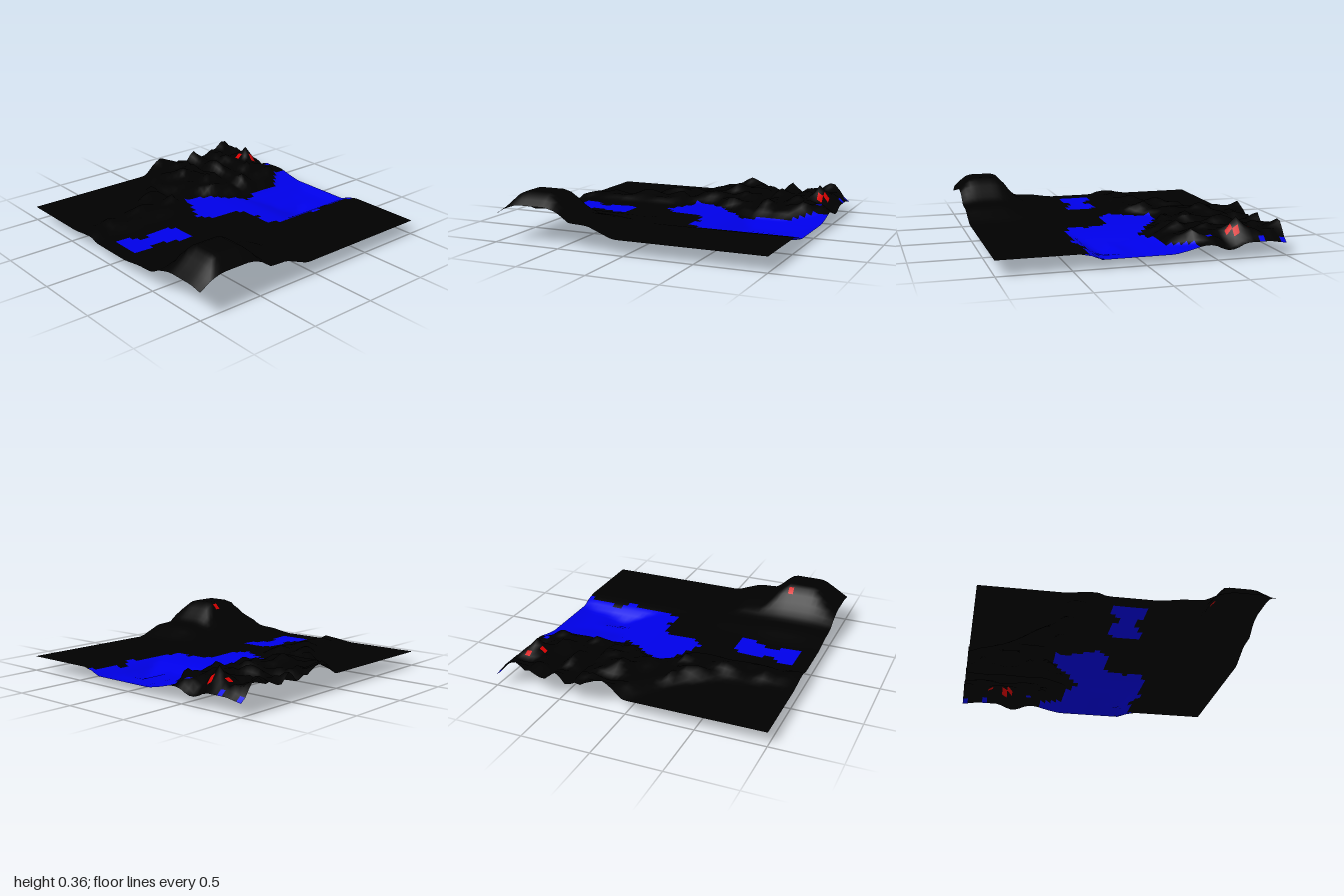
import * as THREE from 'three';

const CELLS = 51, STEP = 2 / CELLS, BASE = 0.106;

// Piecewise-linear curve through [position, value] pairs
function curve(points) {
  return t => {
    if (t <= points[0][0]) return points[0][1];
    for (let i = 1; i < points.length; i++) {
      const [a, va] = points[i - 1], [b, vb] = points[i];
      if (t <= b) return va + (vb - va) * (t - a) / (b - a);
    }
    return points[points.length - 1][1];
  };
}

// Corner hill with a flat top and a side shelf: share of full height along x and z
const hillX = curve([[-1, 0.43], [-0.93, 0.62], [-0.85, 0.92], [-0.8, 1], [-0.6, 1], [-0.55, 0.88],
  [-0.48, 0.6], [-0.41, 0.38], [-0.27, 0.35], [-0.2, 0.22], [-0.08, 0]]);
const hillZ = curve([[0.18, 0], [0.25, 0.05], [0.35, 0.14], [0.48, 0.17], [0.55, 0.33], [0.6, 0.53],
  [0.65, 0.8], [0.7, 1], [0.88, 1], [0.93, 0.94], [1, 0.67]]);

// Skylines of the rugged hills along x and z
const ridgeX = curve([[-1, 0.13], [-0.92, 0.16], [-0.84, 0.14], [-0.76, 0.17], [-0.64, 0.15], [-0.52, 0.18],
  [-0.4, 0.19], [-0.28, 0.19], [-0.22, 0.225], [-0.17, 0.19], [-0.12, 0.125], [-0.08, 0.18], [0, 0.175],
  [0.08, 0.19], [0.18, 0.23], [0.24, 0.205], [0.28, 0.22], [0.33, 0.18], [0.37, 0.195], [0.44, 0.12],
  [0.52, 0.215], [0.62, 0.14], [0.72, 0.215], [0.76, 0.18], [0.8, 0.2], [0.84, 0.26], [0.92, 0.2],
  [0.97, 0.13], [1, 0.106]]);
const ridgeZ = curve([[-1, 0.225], [-0.92, 0.19], [-0.88, 0.205], [-0.84, 0.165], [-0.8, 0.2], [-0.73, 0.215],
  [-0.69, 0.26], [-0.63, 0.215], [-0.58, 0.18], [-0.52, 0.215], [-0.47, 0.165], [-0.42, 0.16], [-0.36, 0.205],
  [-0.32, 0.16], [-0.27, 0.17], [-0.22, 0.14], [-0.15, 0.11]]);

// Back and front limits of the rugged hills
const ridgeBack = curve([[-1, -0.45], [-0.5, -0.52], [-0.2, -0.72], [0, -1], [0.1, -1.15]]);
const ridgeFront = curve([[-1, -0.14], [-0.2, -0.15], [-0.1, -0.3], [0, -0.37], [0.1, -0.37], [0.25, -0.28],
  [0.4, -0.17], [0.75, -0.2], [0.9, -0.36], [1, -0.4]]);

// Lake bed depth along x and z
const bedX = curve([[-0.2, BASE], [0, 0.1], [0.2, 0.095], [0.35, 0.08], [0.45, 0.05], [0.55, 0.015], [0.6, 0],
  [0.64, 0], [0.7, 0.015], [0.78, 0.03], [0.9, 0.035], [1, 0.06]]);
const bedZ = curve([[-0.4, BASE], [-0.3, 0.08], [-0.2, 0.06], [-0.1, 0.045], [0, 0.025], [0.1, 0.03],
  [0.17, 0], [0.22, 0], [0.27, 0.03], [0.35, 0.085], [0.45, BASE]]);

// Local hollows: x, z, radius, depth
const hollows = [[1, -1, 0.12, 0.02], [0.94, -0.59, 0.13, 0.08], [-0.65, 0.05, 0.3, 0.012]];

function heightAt(x, z) {
  const bed = Math.max(bedX(x), bedZ(z));
  const hx = hillX(x), hz = hillZ(z);
  const hill = 0.254 * (hx * hz + Math.min(hx, hz)) / 2;
  const fade = THREE.MathUtils.smoothstep(z, ridgeBack(x), ridgeBack(x) + 0.14)
    * THREE.MathUtils.smoothstep(-z, -ridgeFront(x), -ridgeFront(x) + 0.1);
  const mounds = 0.78 + 0.22 * Math.cos(19 * (x - 0.84)) * Math.cos(19 * (z + 0.69));
  const ridge = Math.max(0, Math.min(ridgeX(x), ridgeZ(z)) - BASE) * fade * mounds;
  const dip = hollows.reduce((sum, [cx, cz, radius, depth]) =>
    sum + depth * Math.max(0, 1 - Math.hypot(x - cx, z - cz) / radius), 0);
  return bed + hill + ridge - dip;
}

// Shorelines
const lake = [[-0.15, -0.1], [-0.1, -0.2], [-0.05, -0.36], [0.1, -0.36], [0.2, -0.3], [0.28, -0.23], [0.4, -0.15],
  [0.5, -0.2], [0.72, -0.2], [0.78, -0.26], [0.85, -0.33], [0.94, -0.39], [1.1, -0.39], [1.1, 0.46], [0.98, 0.43],
  [0.94, 0.36], [0.7, 0.35], [0.62, 0.4], [0.48, 0.38], [0.25, 0.35], [0.17, 0.3], [0.2, 0.2], [0.18, 0.06],
  [0.08, 0.01], [-0.1, 0], [-0.17, -0.05]];
const pond = [[-0.9, -0.08], [-0.75, -0.08], [-0.73, -0.01], [-0.65, -0.04], [-0.44, -0.04], [-0.4, 0.06],
  [-0.4, 0.16], [-0.48, 0.2], [-0.54, 0.16], [-0.6, 0.12], [-0.67, 0.1], [-0.75, 0.12], [-0.9, 0.12]];
const puddles = [[0.9, -0.47], [0.98, -0.82], [0.98, -0.98]];
const markers = [[0.784, -0.706], [0.863, -0.784], [0.902, -0.667], [0.863, -0.627], [-0.627, 0.667]];

function inside(polygon, x, z) {
  let hit = false;
  polygon.forEach(([ax, az], i) => {
    const [bx, bz] = polygon[(i + 1) % polygon.length];
    if ((az > z) !== (bz > z) && x < ax + (bx - ax) * (z - az) / (bz - az)) hit = !hit;
  });
  return hit;
}
const near = (list, x, z) => list.some(([a, b]) => Math.abs(a - x) < STEP / 2 && Math.abs(b - z) < STEP / 2);

export function createModel() {
  const group = new THREE.Group();
  group.name = 'terrain';

  // One smooth height field shared by all surface types
  const field = new THREE.PlaneGeometry(2, 2, CELLS, CELLS).rotateX(-Math.PI / 2);
  const pos = field.attributes.position;
  for (let i = 0; i < pos.count; i++) pos.setY(i, heightAt(pos.getX(i), pos.getZ(i)));
  field.computeVertexNormals();

  // Sort the grid cells by surface type
  const cells = { ground: [], water: [], markers: [] };
  for (let row = 0; row < CELLS; row++) {
    for (let col = 0; col < CELLS; col++) {
      const x = -1 + (col + 0.5) * STEP, z = -1 + (row + 0.5) * STEP;
      const wet = inside(lake, x, z) || inside(pond, x, z) || near(puddles, x, z);
      const kind = near(markers, x, z) ? 'markers' : wet ? 'water' : 'ground';
      const start = (row * CELLS + col) * 6;
      for (let k = 0; k < 6; k++) cells[kind].push(field.index.getX(start + k));
    }
  }

  const colors = { ground: 0x000000, water: 0x0000e8, markers: 0xd80000 };
  for (const name of Object.keys(cells)) {
    const geometry = new THREE.BufferGeometry();
    geometry.setAttribute('position', pos);
    geometry.setAttribute('normal', field.attributes.normal);
    geometry.setIndex(cells[name]);
    const material = new THREE.MeshStandardMaterial({ color: colors[name], side: THREE.DoubleSide });
    const mesh = new THREE.Mesh(geometry, material);
    mesh.name = name;
    group.add(mesh);
  }
  return group;
}
